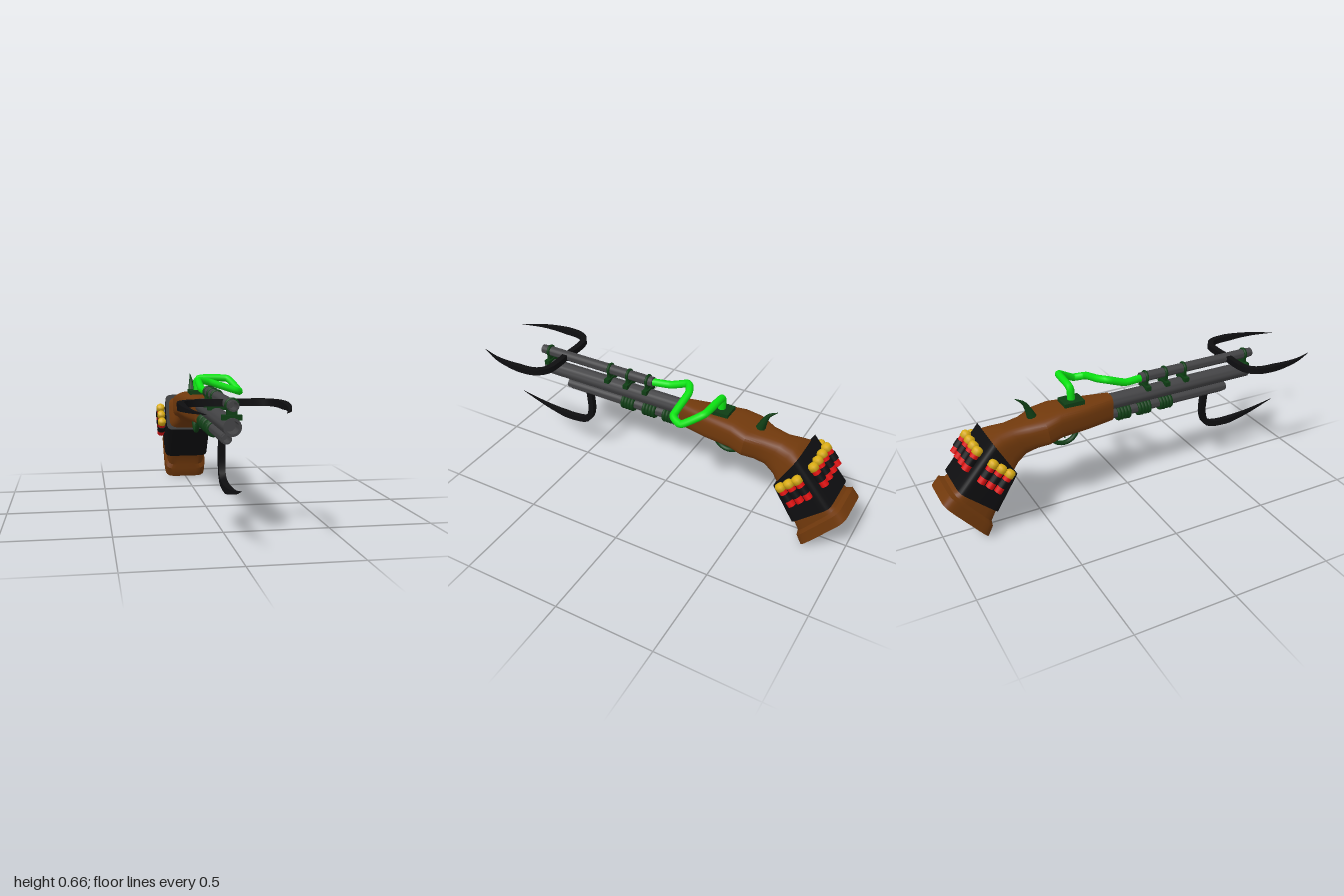
import * as THREE from 'three';
import { toCreasedNormals } from 'three/addons/utils/BufferGeometryUtils.js';

const V = (x, y, z) => new THREE.Vector3(x, y, z);

// Skin a list of rings (each counter-clockwise about the travel direction) and cap both ends
function loft(rings, crease = 0.6) {
  const n = rings[0].length, pos = [], idx = [];
  const centre = r => r.reduce((s, p) => s.add(p), V(0, 0, 0)).divideScalar(n);
  rings.forEach(r => r.forEach(p => pos.push(p.x, p.y, p.z)));
  const last = (rings.length - 1) * n, c0 = rings.length * n;
  [rings[0], rings[rings.length - 1]].forEach(r => pos.push(...centre(r).toArray()));
  for (let j = 0; j < n; j++) {
    const k = (j + 1) % n;
    for (let i = 0; i < last; i += n) idx.push(i + j, i + k, i + n + k, i + j, i + n + k, i + n + j);
    idx.push(c0, k, j, c0 + 1, last + j, last + k);
  }
  const g = new THREE.BufferGeometry();
  g.setAttribute('position', new THREE.Float32BufferAttribute(pos, 3));
  g.setIndex(idx);
  return toCreasedNormals(g.toNonIndexed(), crease);
}

// Rounded-square sections, each given as [topZ, topY, bottomZ, bottomY, halfWidth, squareness]
function slab(sections, crease) {
  return loft(sections.map(([tz, ty, bz, by, w, p]) => {
    const ring = [];
    for (let j = 0; j < 28; j++) {
      const a = (j + 0.5) / 28 * Math.PI * 2;
      const c = Math.sign(Math.cos(a)) * Math.abs(Math.cos(a)) ** p;
      const s = Math.sign(Math.sin(a)) * Math.abs(Math.sin(a)) ** p;
      ring.push(V(c * w, (ty + by) / 2 + s * (ty - by) / 2, (tz + bz) / 2 + s * (tz - bz) / 2));
    }
    return ring;
  }), crease);
}

// Tapering sweep along a planar curve; side is the plane's normal
function sweep(points, side, sides, radius, steps = 22) {
  const curve = new THREE.CatmullRomCurve3(points), rings = [];
  const k = sides === 4 ? Math.SQRT2 : 1;
  for (let i = 0; i <= steps; i++) {
    const t = i / steps, c = curve.getPointAt(t), r = radius(t) * k;
    const v = curve.getTangentAt(t).cross(side).normalize(), ring = [];
    for (let j = 0; j < sides; j++) {
      const a = (j + 0.5) / sides * Math.PI * 2;
      ring.push(c.clone().addScaledVector(side, Math.cos(a) * r).addScaledVector(v, Math.sin(a) * r));
    }
    rings.push(ring);
  }
  return loft(rings, sides === 4 ? 0.5 : 1);
}

export function createModel() {
  const model = new THREE.Group();
  const mat = (name, color) => Object.assign(new THREE.MeshStandardMaterial({ color }), { name });
  const wood = mat('wood', 0x71390c), metal = mat('gunmetal', 0x434345), black = mat('black', 0x0e0e10);
  const darkGreen = mat('darkGreen', 0x0e3d14), green = mat('brightGreen', 0x0be312);
  const red = mat('red', 0xd90f0f), yellow = mat('yellow', 0xdcae14);
  const add = (name, geo, material, parent = model) => {
    const m = new THREE.Mesh(geo, material);
    m.name = name;
    parent.add(m);
    return m;
  };

  // Wooden stock, from butt to fore end
  add('stock', slab([
    [-1.0, 0.25, -0.80, 0.005, 0.122, 0.3],
    [-0.965, 0.29, -0.775, 0.055, 0.122, 0.3],
    [-0.94, 0.285, -0.775, 0.08, 0.112, 0.35],
    [-0.91, 0.30, -0.74, 0.15, 0.114, 0.35],
    [-0.745, 0.495, -0.645, 0.325, 0.112, 0.4],
    [-0.70, 0.513, -0.61, 0.345, 0.09, 0.55],
    [-0.64, 0.52, -0.56, 0.37, 0.074, 0.65],
    [-0.56, 0.528, -0.51, 0.39, 0.085, 0.6],
    [-0.48, 0.545, -0.46, 0.41, 0.113, 0.5],
    [-0.40, 0.563, -0.39, 0.425, 0.102, 0.5],
    [-0.25, 0.56, -0.25, 0.42, 0.08, 0.55],
    [-0.10, 0.557, -0.10, 0.42, 0.045, 0.6],
  ], 0.5), wood);

  // Ammunition belt around the butt
  add('belt', slab([
    [-0.925, 0.305, -0.745, 0.14, 0.128, 0.25],
    [-0.745, 0.512, -0.638, 0.315, 0.128, 0.25],
  ]), black);

  // Shells held in belt loops
  const axis = V(0, 0.77, 0.64).normalize();
  function shell(x, y, z) {
    const g = new THREE.Group();
    g.name = 'shell';
    g.position.set(x, y, z);
    g.quaternion.setFromUnitVectors(V(0, 1, 0), axis);
    add('shellBody', new THREE.CylinderGeometry(0.02, 0.02, 0.1, 14), red, g).position.y = -0.012;
    add('shellLoop', new THREE.CylinderGeometry(0.024, 0.024, 0.036, 14), black, g).position.y = -0.012;
    const cap = [[0, 0.026], [0.023, 0.026], [0.024, 0.05], [0.017, 0.06], [0, 0.064]];
    add('shellCap', new THREE.LatheGeometry(cap.map(p => new THREE.Vector2(...p)), 14), yellow, g);
    model.add(g);
  }
  for (let i = 0; i < 3; i++) for (const s of [-1, 1]) shell(s * 0.153, 0.40 - i * 0.037, -0.79 + i * 0.037);
  for (const x of [-0.084, -0.028, 0.028, 0.084]) shell(x, 0.445, -0.837);

  // Hollow barrels along z
  function barrel(name, y, r, z0, z1, lip) {
    const pts = [[0, z0], [r, z0], [r, z1 - 0.02], [lip, z1 - 0.02], [lip, z1], [lip * 0.72, z1], [lip * 0.72, z1 - 0.08], [0, z1 - 0.08]];
    const geo = new THREE.LatheGeometry(pts.map(p => new THREE.Vector2(...p)), 24).rotateX(Math.PI / 2);
    add(name, toCreasedNormals(geo.toNonIndexed(), 0.6), metal).position.y = y;
  }
  barrel('mainBarrel', 0.515, 0.04, -0.13, 0.71, 0.04);
  barrel('upperBarrel', 0.607, 0.025, 0.07, 0.735, 0.023);
  barrel('lowerBarrel', 0.445, 0.026, -0.13, 0.58, 0.023);

  // Brackets tying the upper barrel to the main barrel
  for (const z of [0.10, 0.21, 0.32, 0.69]) {
    const g = new THREE.Group();
    g.name = 'barrelBracket';
    g.position.z = z;
    add('clamp', new THREE.TorusGeometry(0.025, 0.008, 8, 20), darkGreen, g).position.y = 0.607;
    add('neck', new THREE.BoxGeometry(0.045, 0.03, 0.016), darkGreen, g).position.y = 0.573;
    add('foot', new THREE.BoxGeometry(0.088, 0.022, 0.026), darkGreen, g).position.y = 0.555;
    model.add(g);
  }

  // Ribbed coils on the lower barrel
  for (const [z, count] of [[0.21, 4], [0.085, 4], [-0.03, 4]])
    for (let i = 0; i < count; i++)
      add('coilRing', new THREE.TorusGeometry(0.03, 0.0105, 8, 20), darkGreen).position.set(0, 0.442, z + (i - 1.5) * 0.018);

  // Three curved claws
  const taper = t => 0.0145 * Math.min(1, (1 - t) * 2.2) + 0.0005;
  for (const s of [-1, 1]) {
    const path = [[0, 0.588], [0.09, 0.584], [0.165, 0.594], [0.207, 0.64], [0.217, 0.75], [0.2, 0.88], [0.155, 1.0]];
    add('sideClaw', sweep(path.map(([x, z]) => V(s * x, 0.607, z)), V(0, 1, 0), 4, taper), black);
  }
  const hook = [[0.44, 0.455], [0.31, 0.45], [0.25, 0.478], [0.228, 0.58], [0.243, 0.73], [0.286, 0.91]];
  add('lowerClaw', sweep(hook.map(([y, z]) => V(0, y, z)), V(1, 0, 0), 4, taper), black);

  // Bright hose and its base plate
  const hose = [[0, 0.57, -0.305], [0, 0.635, -0.308], [0.04, 0.645, -0.307], [0.165, 0.64, -0.295], [0.212, 0.58, -0.2],
    [0.18, 0.59, -0.142], [0.04, 0.635, -0.147], [-0.02, 0.645, -0.115], [-0.018, 0.61, -0.02], [0, 0.605, 0.085]];
  const hosePath = new THREE.CatmullRomCurve3(hose.map(p => V(...p)), false, 'catmullrom', 0.25);
  add('hose', new THREE.TubeGeometry(hosePath, 70, 0.019, 10), green);
  add('hosePlate', new THREE.BoxGeometry(0.088, 0.026, 0.105), darkGreen).position.set(0, 0.567, -0.305);

  // Hammer, trigger and guard
  const horn = [[0.52, -0.505], [0.565, -0.52], [0.615, -0.545], [0.648, -0.588]];
  add('hammer', sweep(horn.map(([y, z]) => V(0, y, z)), V(1, 0, 0), 8, t => 0.026 * (1 - t) + 0.001, 10), darkGreen);
  const guard = add('triggerGuard', new THREE.TorusGeometry(0.072, 0.012, 8, 24, Math.PI), darkGreen);
  guard.rotation.set(0, Math.PI / 2, Math.PI);
  guard.position.set(0, 0.422, -0.35);
  const trigger = [[0.43, -0.345], [0.40, -0.355], [0.375, -0.345]];
  add('trigger', sweep(trigger.map(([y, z]) => V(0, y, z)), V(1, 0, 0), 6, t => 0.009 * (1 - t) + 0.002, 8), darkGreen);

  return model;
}
